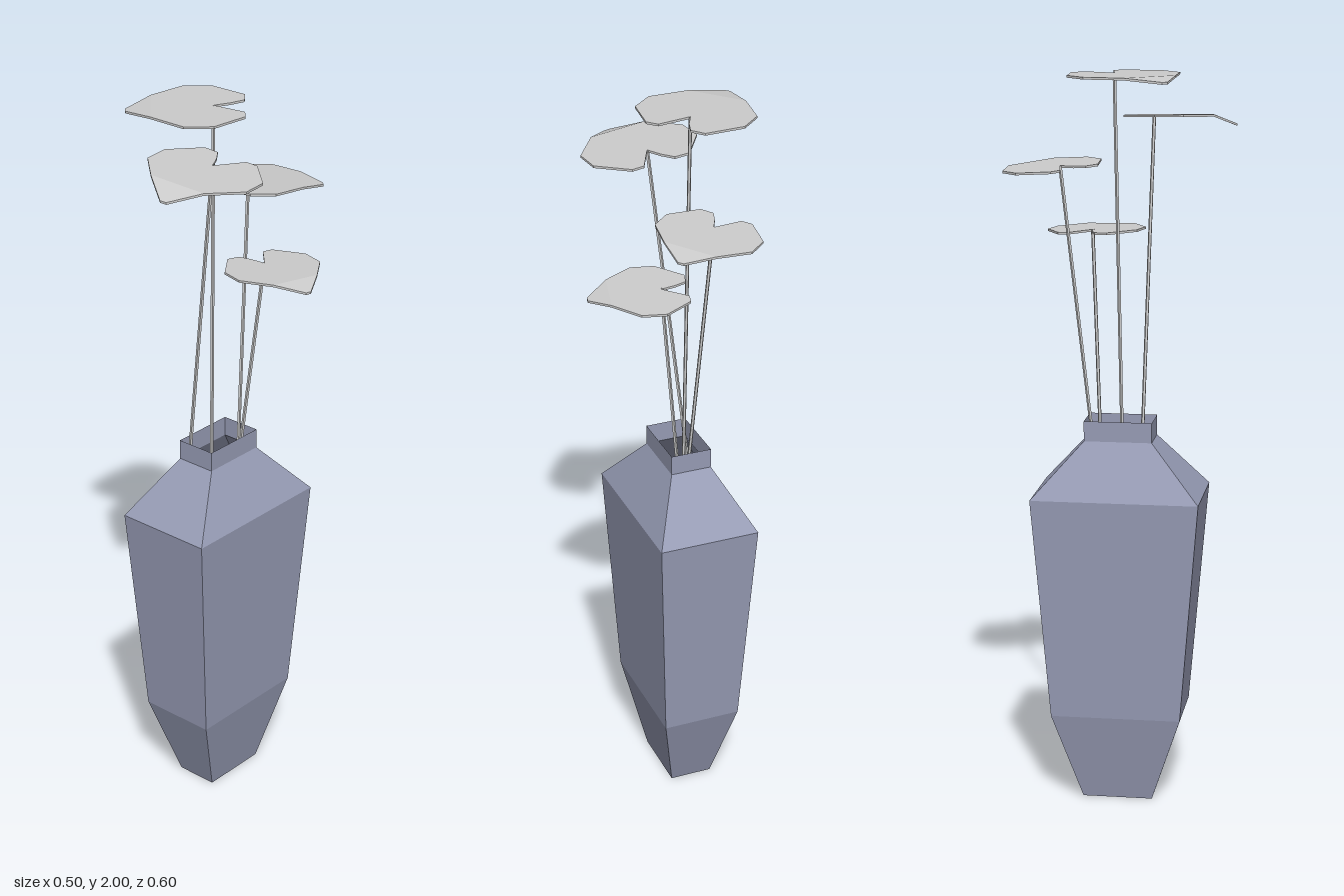
import * as THREE from 'three';

const grey = new THREE.MeshStandardMaterial({ color: 0xcccccc, flatShading: true, side: THREE.DoubleSide });
const glaze = new THREE.MeshStandardMaterial({ color: 0x979cb5, flatShading: true, side: THREE.DoubleSide });

// Leaf outline as [x, z] around the notch, where the stem joins; the first two points are the tip
const OUTLINE = [
  [-.223, .032], [-.219, .05], [-.144, .109], [-.05, .167], [.025, .155], [.093, .071], [.087, .037],
  [0, 0], [.041, -.025], [.073, -.052], [.068, -.094], [-.027, -.148], [-.102, -.135], [-.171, -.053],
];
const THICKNESS = 0.006;

// Thin notched leaf: flat body plus a folded-down tip
function leafGeometry(turn, size, tiltX, tiltZ, droop) {
  const n = OUTLINE.length, c = Math.cos(turn) * size, s = Math.sin(turn) * size;
  const top = OUTLINE.map(([x, z], i) => {
    const px = x * c - z * s, pz = x * s + z * c;
    return [px, tiltX * px + tiltZ * pz - (i < 2 ? droop : 0), pz];
  });
  const bottom = top.map(([x, y, z]) => [x, y - THICKNESS, z]);
  const body = OUTLINE.slice(2).map(([x, z]) => new THREE.Vector2(x, z));
  const faces = [[n - 1, 0, 1], [n - 1, 1, 2],
    ...THREE.ShapeUtils.triangulateShape(body, []).map(f => f.map(i => i + 2))];

  const pos = [];
  const add = (...corners) => corners.forEach(p => pos.push(...p));
  for (let [a, b, d] of faces) {
    const A = top[a], B = top[b], D = top[d];
    const up = (B[2] - A[2]) * (D[0] - A[0]) - (B[0] - A[0]) * (D[2] - A[2]);
    if (up < 0) [b, d] = [d, b];
    add(top[a], top[b], top[d]);
    add(bottom[a], bottom[d], bottom[b]);
  }
  for (let i = 0; i < n; i++) {
    const j = (i + 1) % n;
    add(top[i], bottom[i], bottom[j], top[i], bottom[j], top[j]);
  }
  const geo = new THREE.BufferGeometry();
  geo.setAttribute('position', new THREE.Float32BufferAttribute(pos, 3));
  geo.computeVertexNormals();
  return geo;
}

// Straight stem between two points, continued down into the vase
function stemMesh(foot, head) {
  const dir = head.clone().sub(foot);
  const start = foot.clone().addScaledVector(dir, -0.12 / dir.y);
  const geo = new THREE.TubeGeometry(new THREE.LineCurve3(start, head), 1, 0.005, 5, false);
  const mesh = new THREE.Mesh(geo, grey);
  mesh.name = 'stem';
  return mesh;
}

export function createModel() {
  const model = new THREE.Group();
  model.name = 'vaseWithLeaves';

  // Four-sided vase: a square lathe stretched to a rectangle, open at the collar
  const profile = [[0, 0], [.42, 0], [.78, .245], [1, .86], [.405, 1.01], [.405, 1.065]]
    .map(([r, y]) => new THREE.Vector2(r * Math.SQRT2, y));
  const vase = new THREE.Mesh(new THREE.LatheGeometry(profile, 4, Math.PI / 4), glaze);
  vase.name = 'vase';
  vase.scale.set(.228, 1, .14);
  vase.rotation.y = 1.004;
  vase.position.set(-.011, 0, -.005);
  model.add(vase);

  // Stems with leaves: foot at the collar, head at the leaf notch
  const plants = [
    { foot: [-.03, 1.07, -.01], head: [-.027, 1.995, -.03], turn: 0, size: 1, tilt: [0, 0], droop: .01 },
    { foot: [-.08, 1.07, .03], head: [-.01, 1.88, .094], turn: -54.7, size: .98, tilt: [-.08, -.03], droop: .025 },
    { foot: [.035, 1.07, -.075], head: [.046, 1.75, -.155], turn: 180, size: .88, tilt: [0, .08], droop: .012 },
    { foot: [.05, 1.07, -.04], head: [.107, 1.566, -.034], turn: -123.7, size: .85, tilt: [-.03, .03], droop: .015 },
  ];
  for (const p of plants) {
    const head = new THREE.Vector3(...p.head);
    const plant = new THREE.Group();
    plant.name = 'plant';
    const leaf = new THREE.Mesh(
      leafGeometry(THREE.MathUtils.degToRad(p.turn), p.size, p.tilt[0], p.tilt[1], p.droop), grey);
    leaf.name = 'leaf';
    leaf.position.copy(head);
    plant.add(stemMesh(new THREE.Vector3(...p.foot), head), leaf);
    model.add(plant);
  }
  return model;
}
